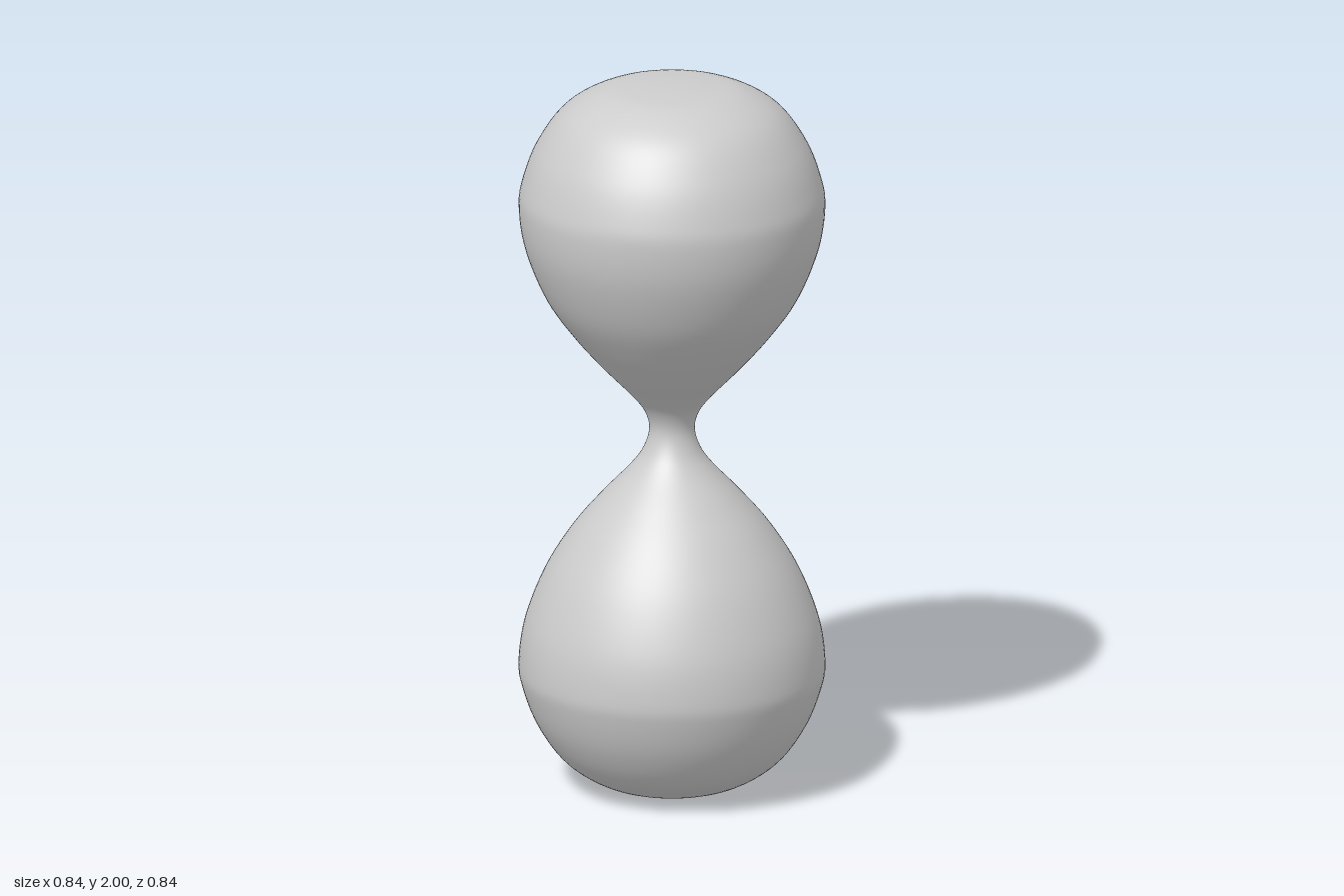
import * as THREE from 'three';

export function createModel() {
  const group = new THREE.Group();
  const grey = new THREE.MeshStandardMaterial({ color: 0xcccccc });
  grey.name = 'light grey';

  // Radius and height along the outline, from the base centre to the top centre
  const outline = [
    [0, 0], [0.1, 0.004], [0.2, 0.022], [0.3, 0.087], [0.37, 0.185], [0.41, 0.29],
    [0.418, 0.36], [0.4, 0.475], [0.345, 0.615], [0.27, 0.735], [0.19, 0.83],
    [0.115, 0.91], [0.078, 0.963], [0.062, 1.02], [0.076, 1.072], [0.115, 1.122],
    [0.19, 1.2], [0.27, 1.292], [0.345, 1.4], [0.4, 1.535], [0.418, 1.65],
    [0.408, 1.725], [0.37, 1.825], [0.3, 1.922], [0.2, 1.98], [0.1, 1.996], [0, 2],
  ].map(([r, y]) => new THREE.Vector2(r, y));

  // Smooth the outline and spin it into one closed hourglass body
  const profile = new THREE.SplineCurve(outline).getPoints(156);
  profile.forEach((p) => { p.x = Math.max(p.x, 0); });
  const body = new THREE.Mesh(new THREE.LatheGeometry(profile, 96), grey);
  body.name = 'hourglassBody';
  group.add(body);

  return group;
}
